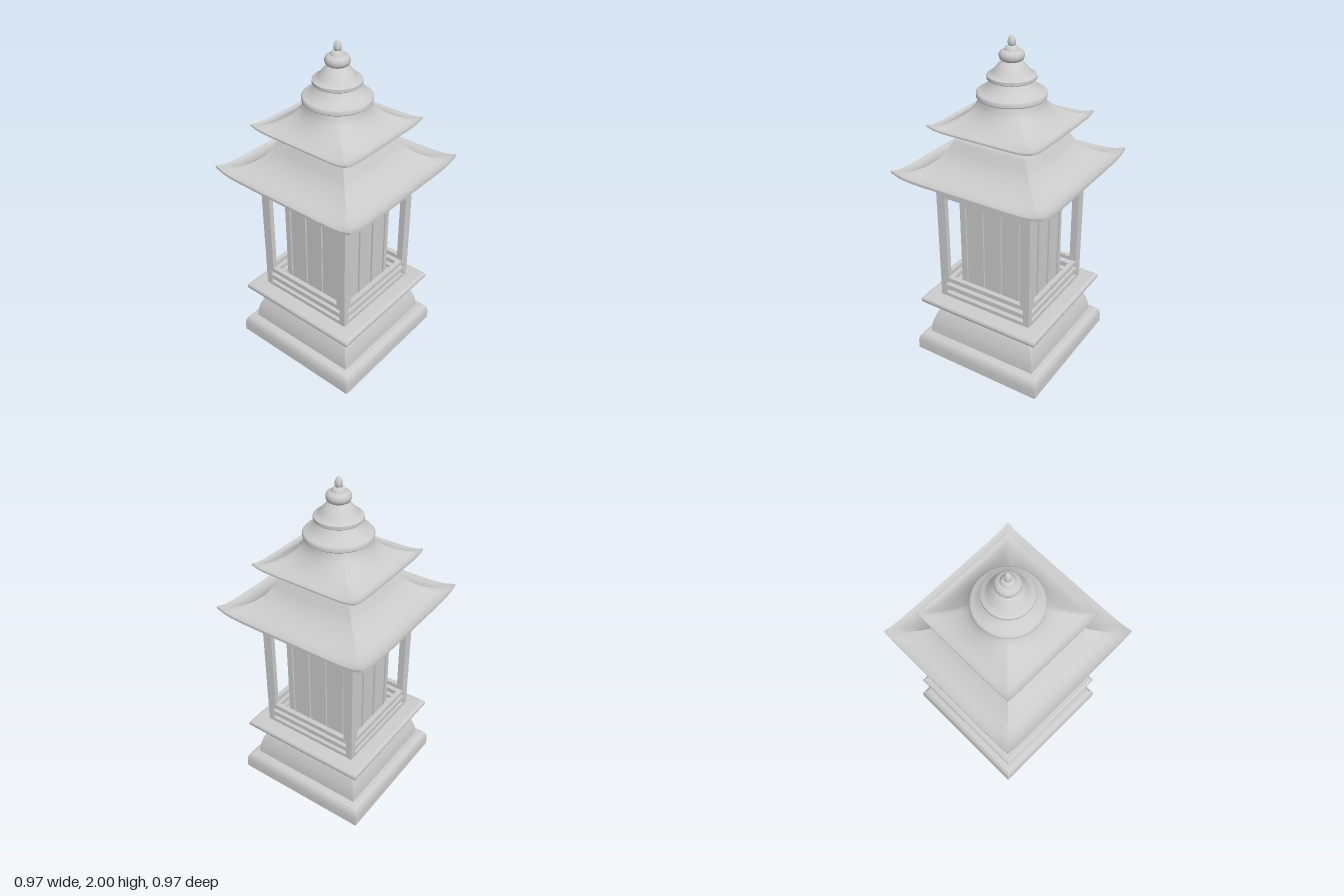
import * as THREE from 'three';
import { toCreasedNormals } from 'three/addons/utils/BufferGeometryUtils.js';

const material = new THREE.MeshStandardMaterial({ color: 0xcccccc, side: THREE.DoubleSide });

function add(parent, name, geometry) {
  const mesh = new THREE.Mesh(geometry, material);
  mesh.name = name;
  parent.add(mesh);
  return mesh;
}

const toPoints = (list) => list.map(([r, y]) => new THREE.Vector2(r, y));

// Square-plan solid: profile of [half width, height], mitred at the corners
function squareSolid(profile) {
  const pts = toPoints(profile.map(([r, y]) => [r * Math.SQRT2, y]));
  return toCreasedNormals(new THREE.LatheGeometry(pts, 4).rotateY(Math.PI / 4), 0.6);
}

// Turned solid with crisp edges
function turned(profile) {
  return toCreasedNormals(new THREE.LatheGeometry(toPoints(profile), 64), 0.7);
}

// Sweeping roof: a turned profile pushed out to a square plan, with lifted corners.
// topRound is how circular the plan is at the top (0 square, 1 round).
function roof(profile, { inner, outer, lift, topRound }) {
  const geo = new THREE.LatheGeometry(toPoints(profile), 96);
  const pos = geo.attributes.position;
  for (let i = 0; i < pos.count; i++) {
    const x = pos.getX(i), z = pos.getZ(i), r = Math.hypot(x, z);
    if (r < 1e-6) continue;
    const big = Math.max(Math.abs(x), Math.abs(z));
    const corner = Math.min(Math.abs(x), Math.abs(z)) / big;
    const t = THREE.MathUtils.clamp((r - inner) / (outer - inner), 0, 1);
    const round = topRound * (1 - t) ** 2;
    const s = THREE.MathUtils.lerp(r / big, 1, round);
    pos.setXYZ(i, x * s, pos.getY(i) + lift * t ** 3 * corner ** 8, z * s);
  }
  return toCreasedNormals(geo, 0.7);
}

function rectHole(x0, y0, x1, y1) {
  return new THREE.Path(toPoints([[x0, y0], [x0, y1], [x1, y1], [x1, y0]]));
}

// One lattice side: a slab with a tall window and slots above and below
function latticeGeometry(half, depth) {
  const shape = new THREE.Shape(toPoints([[-half, 0.4], [half, 0.4], [half, 1.235], [-half, 1.235]]));
  shape.holes.push(rectHole(-0.255, 0.54, 0.255, 1.094));
  for (const [a, b] of [[0.424, 0.452], [0.483, 0.511], [1.12, 1.147], [1.178, 1.208]]) {
    shape.holes.push(rectHole(-0.275, a, 0.275, b));
  }
  return new THREE.ExtrudeGeometry(shape, { depth, bevelEnabled: false }).translate(0, 0, half - depth);
}

export function createModel() {
  const model = new THREE.Group();
  model.name = 'pagodaLantern';

  // Stepped base
  add(model, 'plinth', squareSolid([
    [0, 0], [0.43, 0], [0.43, 0.055], [0.427, 0.078], [0.42, 0.098], [0.408, 0.113], [0.39, 0.12], [0, 0.12],
  ]));
  add(model, 'curvedPedestal', squareSolid([
    [0.37, 0.12], [0.366, 0.165], [0.357, 0.205], [0.343, 0.245], [0.325, 0.285], [0.302, 0.32], [0.275, 0.35],
  ]));
  const lip = [];
  for (let i = 0; i <= 8; i++) {
    const a = -Math.PI / 2 + (i / 8) * Math.PI;
    lip.push([0.385 + 0.02 * Math.cos(a), 0.374 + 0.024 * Math.sin(a)]);
  }
  add(model, 'platform', squareSolid([[0, 0.35], ...lip, [0, 0.398]]));

  // Lantern chamber with vertical battens
  const chamber = new THREE.Group();
  chamber.name = 'chamber';
  model.add(chamber);
  add(chamber, 'chamberWalls', new THREE.BoxGeometry(0.44, 0.84, 0.44).translate(0, 0.815, 0));
  const lattice = latticeGeometry(0.313, 0.03);
  const batten = new THREE.BoxGeometry(0.018, 0.84, 0.02);
  for (let side = 0; side < 4; side++) {
    const face = new THREE.Group();
    face.name = 'chamberSide';
    face.rotation.y = (side * Math.PI) / 2;
    chamber.add(face);
    add(face, 'lattice', lattice);
    for (const x of [-0.183, -0.061, 0.061, 0.183]) {
      add(face, 'batten', batten).position.set(x, 0.815, 0.221);
    }
  }

  // Two sweeping roofs with a square neck between
  add(model, 'lowerRoof', roof([
    [0, 1.23], [0.3, 1.23], [0.4, 1.23], [0.45, 1.231], [0.485, 1.238], [0.485, 1.252], [0.465, 1.245],
    [0.44, 1.246], [0.41, 1.252], [0.375, 1.268], [0.335, 1.295], [0.295, 1.333], [0.265, 1.378],
    [0.25, 1.415], [0.238, 1.435], [0, 1.435],
  ], { inner: 0.238, outer: 0.485, lift: 0.03, topRound: 0.15 }));
  add(model, 'neck', new THREE.BoxGeometry(0.37, 0.08, 0.37).translate(0, 1.47, 0));
  add(model, 'upperRoof', roof([
    [0, 1.5], [0.2, 1.5], [0.28, 1.5], [0.315, 1.501], [0.335, 1.506], [0.335, 1.516], [0.32, 1.511],
    [0.3, 1.514], [0.27, 1.53], [0.24, 1.555], [0.213, 1.585], [0.194, 1.615], [0.183, 1.645],
    [0.18, 1.67], [0, 1.67],
  ], { inner: 0.18, outer: 0.335, lift: 0.02, topRound: 1 }));

  // Turned finial
  add(model, 'lowerFinialTier', turned([
    [0, 1.662], [0.19, 1.662], [0.195, 1.667], [0.195, 1.688], [0.19, 1.694], [0.178, 1.697],
    [0.16, 1.706], [0.14, 1.722], [0.122, 1.742], [0.108, 1.765], [0, 1.765],
  ]));
  add(model, 'upperFinialTier', turned([
    [0, 1.764], [0.133, 1.764], [0.137, 1.768], [0.137, 1.785], [0.133, 1.789], [0.118, 1.791],
    [0.105, 1.805], [0.088, 1.828], [0.07, 1.848], [0.05, 1.865], [0, 1.865],
  ]));
  add(model, 'finialBead', turned([
    [0, 1.863], [0.05, 1.863], [0.064, 1.872], [0.069, 1.886], [0.069, 1.9], [0.063, 1.913],
    [0.048, 1.921], [0.04, 1.923], [0.037, 1.932], [0.028, 1.942], [0.018, 1.946], [0, 1.947],
  ]));
  add(model, 'finialTip', turned([
    [0.014, 1.94], [0.019, 1.948], [0.022, 1.96], [0.021, 1.972], [0.016, 1.987], [0.009, 1.997], [0, 2],
  ]));

  return model;
}
